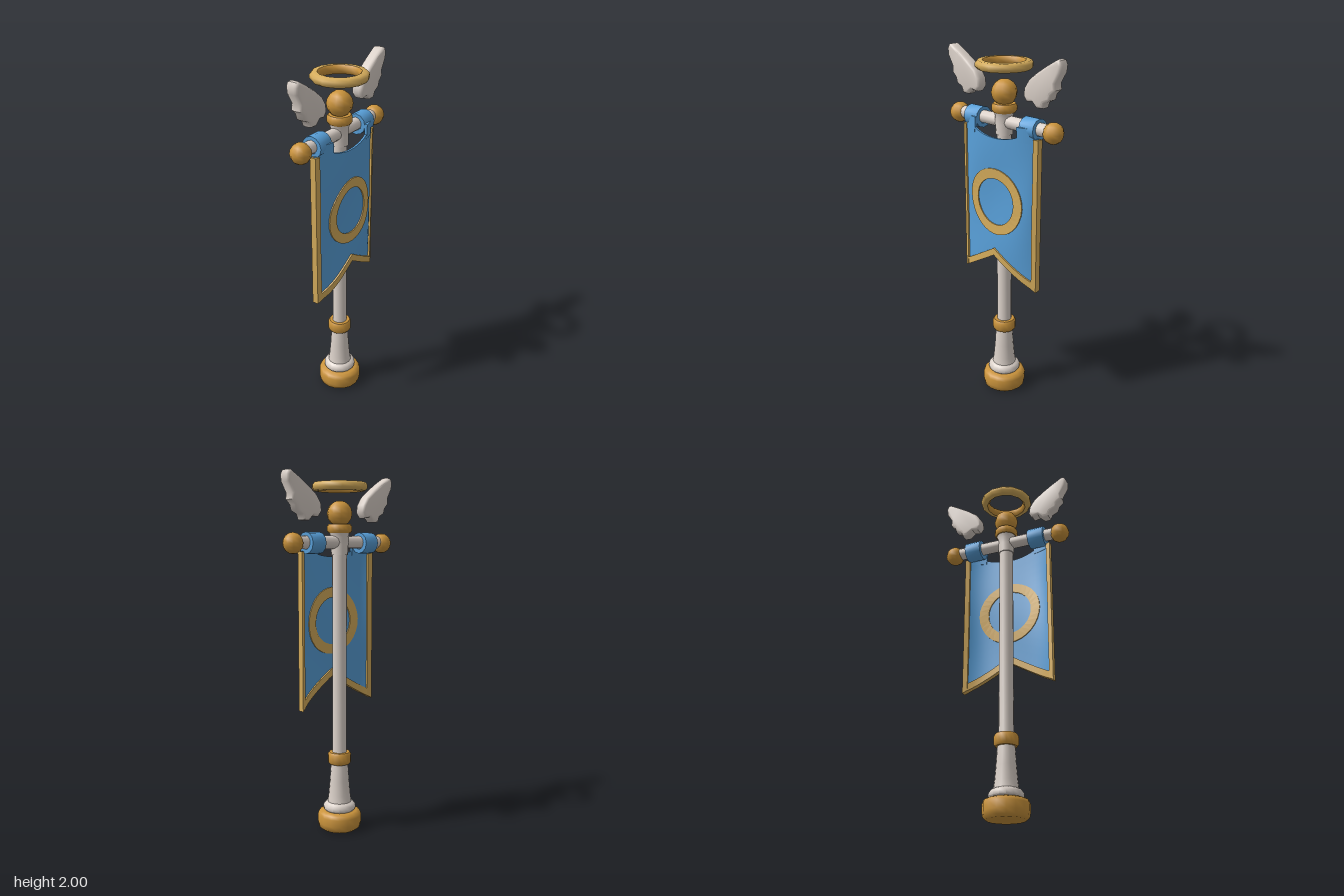
import * as THREE from 'three';
import { toCreasedNormals } from 'three/addons/utils/BufferGeometryUtils.js';

const material = (name, color) => new THREE.MeshStandardMaterial({ name, color });

export function createModel() {
  const model = new THREE.Group();
  model.name = 'bannerPole';
  const gold = material('gold', 0xcb943c);
  const paleGold = material('paleGold', 0xd6ad5c);
  const ivory = material('ivory', 0xdad0c8);
  const blue = material('blue', 0x589fd8);

  const add = (name, geometry, mat) => {
    const mesh = new THREE.Mesh(geometry, mat);
    mesh.name = name;
    model.add(mesh);
    return mesh;
  };
  const lathe = (points, segments = 16, crease = 0.8) => toCreasedNormals(
    new THREE.LatheGeometry(points.map(([r, y]) => new THREE.Vector2(r, y)), segments), crease);

  // Foot, shaft and collars
  add('base', lathe([[0, 0], [0.105, 0], [0.12, 0.012], [0.125, 0.04], [0.125, 0.08],
    [0.118, 0.098], [0.1, 0.107], [0, 0.107]]), gold);
  add('shaft', lathe([[0.08, 0.105], [0.092, 0.118], [0.092, 0.138], [0.08, 0.152], [0.068, 0.158],
    [0.062, 0.2], [0.055, 0.28], [0.048, 0.39], [0.041, 0.44], [0.04, 1.57]]), ivory);
  const collar = (r, low, high) => lathe([[0.03, low], [r - 0.008, low], [r, low + 0.012],
    [r, high - 0.012], [r - 0.008, high], [0.03, high]]);
  add('lowerCollar', collar(0.067, 0.382, 0.45), gold);
  add('poleHead', lathe([[0, 1.565], [0.046, 1.565], [0.048, 1.62], [0.048, 1.66],
    [0.056, 1.685], [0, 1.69]]), ivory);
  add('upperCollar', collar(0.068, 1.683, 1.73), gold);
  add('finial', new THREE.SphereGeometry(0.07, 10, 8).translate(0, 1.787, 0), gold);

  // Floating halo, with a darker inner wall
  add('halo', lathe([[0.116, 1.905], [0.14, 1.908], [0.152, 1.922], [0.152, 1.94],
    [0.14, 1.953], [0.114, 1.954]], 14, 1), paleGold);
  add('haloInside', lathe([[0.114, 1.954], [0.104, 1.942], [0.104, 1.917], [0.116, 1.905]], 14, 1), gold);

  // Crossbar
  add('crossbar', new THREE.CylinderGeometry(0.035, 0.035, 0.6, 12)
    .rotateX(Math.PI / 2).translate(0, 1.633, 0), ivory);

  // Cloth surface: bulges clear of the pole, with gentle folds
  const clothX = (y, z) => {
    const edge = Math.min(1, Math.abs(z) / 0.26) ** 4;
    return 0.022 + (1 - edge) * (0.044 + 0.006 * Math.sin(y * 9 + z * 8));
  };
  const bottomY = (z) => 0.905 - 0.593 * Math.abs(z);
  const topY = (z) => 1.555 + 0.032 * Math.min(1, (z / 0.16) ** 2);
  const drape = (geometry, rule = (y) => y) => {
    const p = geometry.attributes.position;
    for (let i = 0; i < p.count; i++) {
      const z = p.getZ(i);
      const y = rule(p.getY(i), z);
      p.setXYZ(i, p.getX(i) + clothX(y, z), y, z);
    }
    geometry.computeVertexNormals();
    return geometry;
  };
  add('bannerCloth', drape(new THREE.BoxGeometry(0.012, 1, 0.52, 1, 16, 20),
    (y, z) => THREE.MathUtils.lerp(bottomY(z), topY(z), y + 0.5)), blue);
  add('bottomTrim', drape(new THREE.BoxGeometry(0.03, 0.042, 0.536, 1, 1, 20),
    (y, z) => y + bottomY(z)), paleGold);

  // Ring emblem, raised on both faces of the cloth
  add('ringEmblem', drape(lathe([[0.132, -0.012], [0.188, -0.012], [0.188, 0.012],
    [0.132, 0.012], [0.132, -0.012]], 32).rotateZ(-Math.PI / 2).translate(0, 1.198, 0)), paleGold);

  // Wing outline as (z, y) points, tip first
  const wingPoints = [[0.368, 1.998], [0.345, 1.985], [0.307, 1.963], [0.244, 1.922], [0.19, 1.88],
    [0.162, 1.838], [0.156, 1.795], [0.178, 1.766], [0.214, 1.772], [0.244, 1.744], [0.28, 1.746],
    [0.292, 1.775], [0.328, 1.793], [0.336, 1.822], [0.364, 1.848], [0.36, 1.88], [0.392, 1.935],
    [0.396, 1.972], [0.385, 1.995]].map(([z, y]) => new THREE.Vector2(z, y));
  const wingGeometry = toCreasedNormals(new THREE.ExtrudeGeometry(new THREE.Shape(wingPoints), {
    depth: 0.026, bevelEnabled: true, bevelThickness: 0.021, bevelSize: 0.014,
    bevelOffset: -0.014, bevelSegments: 3,
  }).translate(0, 0, -0.013).rotateY(-Math.PI / 2), 0.9);

  // Parts paired at both ends of the crossbar
  for (const [side, s] of [['front', 1], ['back', -1]]) {
    add(side + 'Wing', wingGeometry, ivory).rotation.y = s > 0 ? 0 : Math.PI;
    add(side + 'BarKnob', new THREE.SphereGeometry(0.056, 10, 8).translate(0, 1.628, s * 0.337), gold);
    add(side + 'ClothLoop', lathe([[0.034, -0.048], [0.058, -0.048], [0.058, 0.048],
      [0.034, 0.048], [0.034, -0.048]], 12).rotateX(Math.PI / 2).translate(0, 1.629, s * 0.2), blue);
    add(side + 'ClothTab', drape(new THREE.BoxGeometry(0.016, 0.08, 0.096, 1, 1, 4)
      .translate(0, 1.6, s * 0.2)), blue);
    add(side + 'SideTrim', drape(new THREE.BoxGeometry(0.034, 1, 0.026, 1, 10, 1)
      .translate(0, 0, s * 0.257), (y, z) => THREE.MathUtils.lerp(bottomY(z) - 0.021, 1.585, y + 0.5)), paleGold);
  }
  return model;
}
